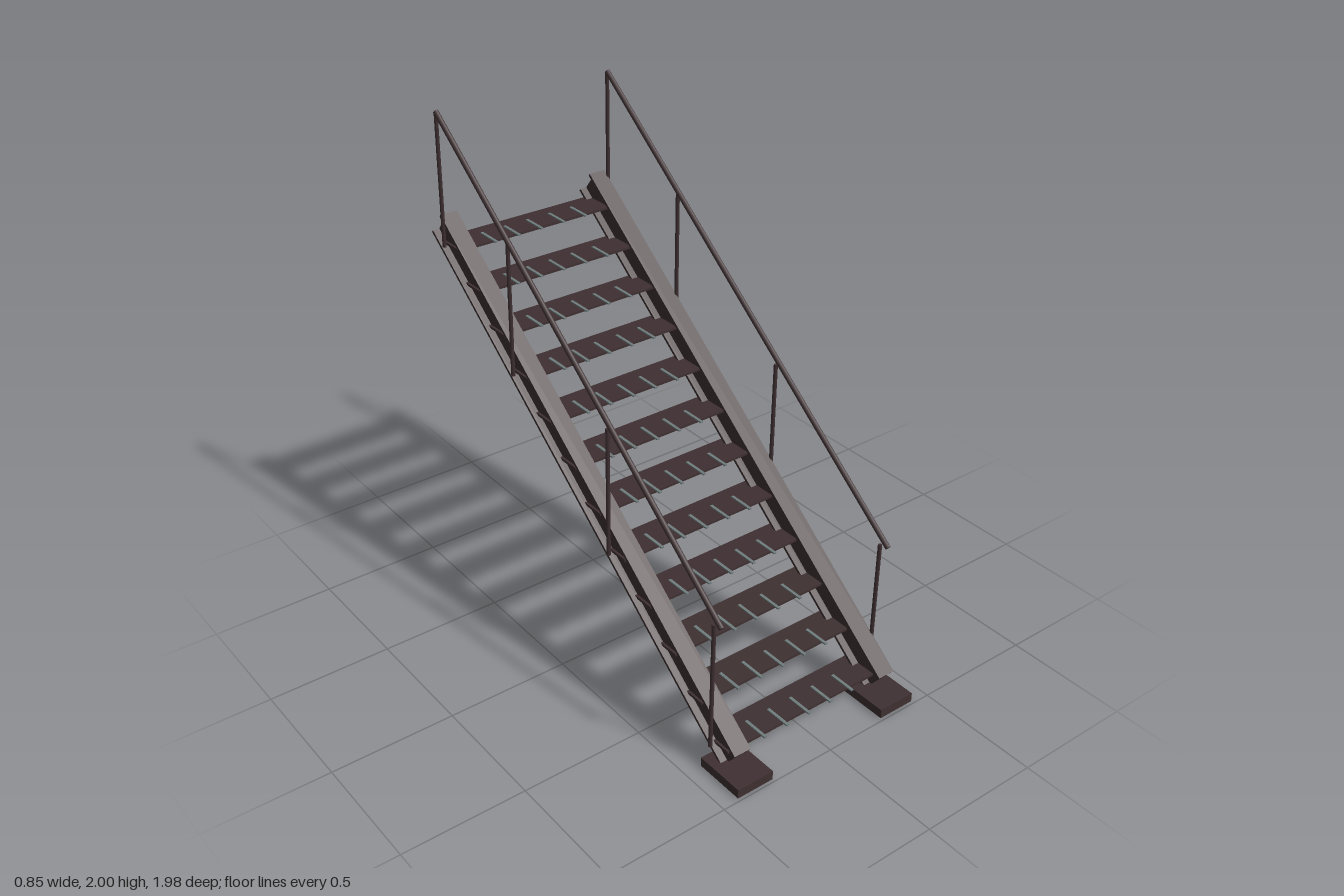
import * as THREE from 'three';

const SLOPE = Math.atan2(1.44, 1.83);

export function createModel() {
  const steel = new THREE.MeshStandardMaterial({ color: 0x3f3032 });
  steel.name = 'dark brown steel';
  const gripGrey = new THREE.MeshStandardMaterial({ color: 0x707c7c });
  gripGrey.name = 'grip grey';

  const model = new THREE.Group();
  model.name = 'staircase';

  function add(parent, name, geometry, material, x, y, z) {
    const mesh = new THREE.Mesh(geometry, material);
    mesh.name = name;
    mesh.position.set(x, y, z);
    parent.add(mesh);
    return mesh;
  }

  // I-beam section shared by both stringers
  const w = 0.037, h = 0.062, web = 0.008, inner = h - 0.012;
  const half = [[w, -h], [w, -inner], [web, -inner], [web, inner], [w, inner], [w, h]];
  const outline = [...half, ...half.map(([x, y]) => [-x, -y])];
  const section = new THREE.Shape(outline.map(([x, y]) => new THREE.Vector2(x, y)));
  const beamLength = 2.33;
  const beam = new THREE.ExtrudeGeometry(section, { depth: beamLength, bevelEnabled: false });
  beam.translate(0, 0, -beamLength / 2);

  const foot = new THREE.BoxGeometry(0.16, 0.038, 0.21);

  // Handrail ends and the baluster positions: z, bottom y, top y
  const railStart = new THREE.Vector3(0, 0.637, 0.835);
  const railEnd = new THREE.Vector3(0, 1.987, -0.883);
  const rail = new THREE.CylinderGeometry(0.011, 0.011, railStart.distanceTo(railEnd), 10);
  const posts = [
    [0.79, 0.08, 0.63],
    [0.181, 0.575, 1.12],
    [-0.427, 1.065, 1.615],
    [-0.888, 1.435, 1.983],
  ];

  for (const side of [-1, 1]) {
    const group = new THREE.Group();
    group.name = side > 0 ? 'leftSide' : 'rightSide';
    model.add(group);

    add(group, 'stringer', beam, steel, side * 0.352, 0.7925, -0.035).rotation.x = SLOPE;
    add(group, 'footPlate', foot, steel, side * 0.347, 0.019, 0.882);

    const mid = railStart.clone().add(railEnd).multiplyScalar(0.5);
    const handrail = add(group, 'handrail', rail, steel, side * 0.392, mid.y, mid.z);
    handrail.quaternion.setFromUnitVectors(
      new THREE.Vector3(0, 1, 0), railEnd.clone().sub(railStart).normalize());

    // Posts lean very slightly forward
    for (const [z, y0, y1] of posts) {
      const post = new THREE.CylinderGeometry(0.008, 0.008, y1 - y0, 8);
      add(group, 'railPost', post, steel, side * 0.392, (y0 + y1) / 2, z).rotation.x = 0.015;
    }
  }

  // Treads pass through the stringer webs, with grip strips overhanging the front
  const tread = new THREE.BoxGeometry(0.74, 0.01, 0.145);
  const strip = new THREE.BoxGeometry(0.012, 0.006, 0.11);
  for (let i = 0; i < 12; i++) {
    const y = 0.085 + i * 0.1227;
    const z = 0.785 - i * 0.1527;
    add(model, 'tread', tread, steel, 0, y, z);
    for (let j = -2; j <= 2; j++) {
      add(model, 'gripStrip', strip, gripGrey, j * 0.1065, y + 0.007, z + 0.042);
    }
  }

  return model;
}
